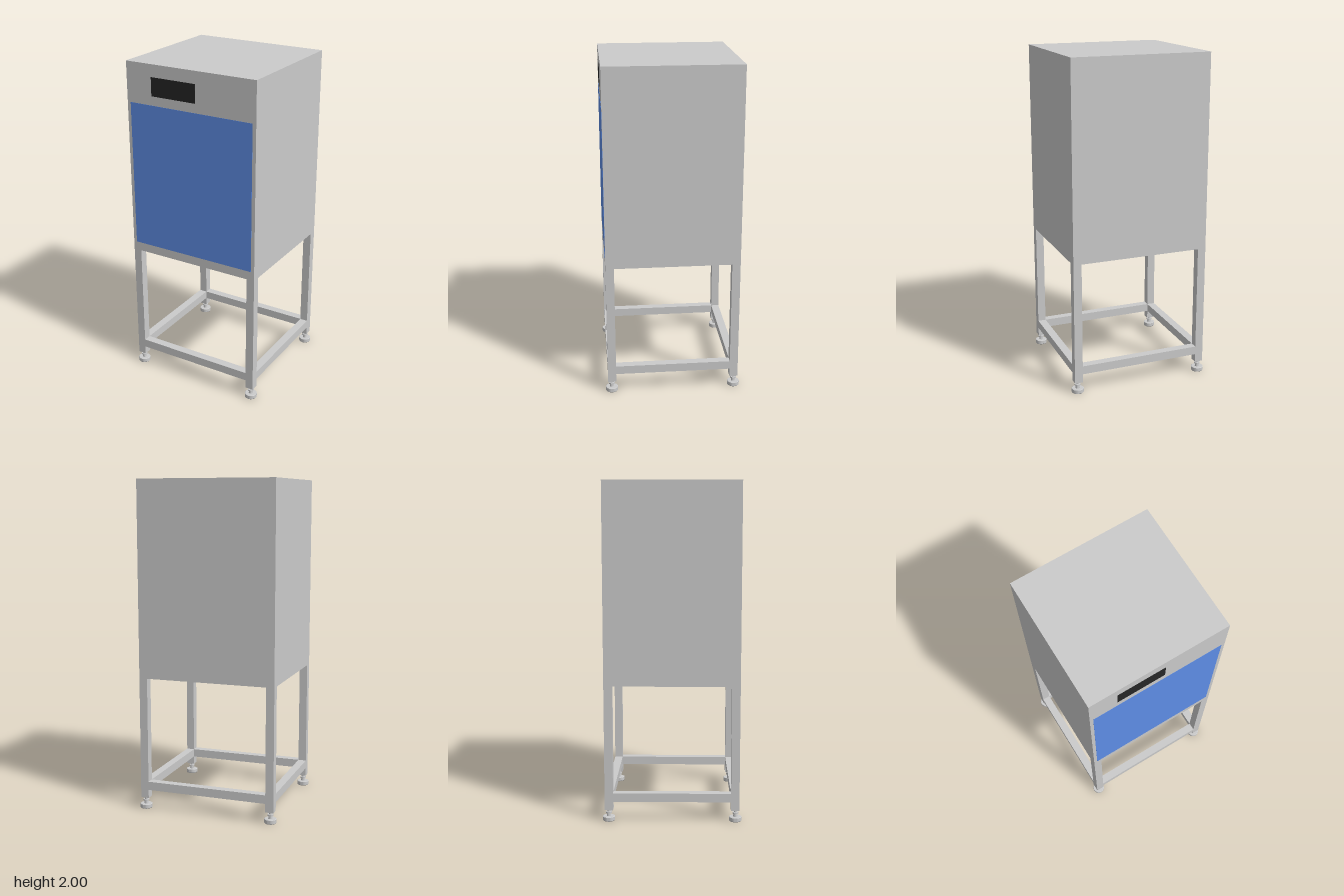
import * as THREE from 'three';
import { toCreasedNormals } from 'three/addons/utils/BufferGeometryUtils.js';

const grey = new THREE.MeshStandardMaterial({ color: 0xcccccc });
const blue = new THREE.MeshStandardMaterial({ color: 0x5f8fe8 });
const black = new THREE.MeshStandardMaterial({ color: 0x262626 });

const W = 0.424, D = 0.4, TUBE = 0.05; // half width, half depth, frame tube size

export function createModel() {
  const model = new THREE.Group();
  model.name = 'cabinetOnStand';

  // Box given by its limits on each axis
  const box = (name, [x0, x1], [y0, y1], [z0, z1], material = grey) => {
    const mesh = new THREE.Mesh(new THREE.BoxGeometry(x1 - x0, y1 - y0, z1 - z0), material);
    mesh.name = name;
    mesh.position.set((x0 + x1) / 2, (y0 + y1) / 2, (z0 + z1) / 2);
    model.add(mesh);
  };

  // Cabinet with its front door and display
  box('cabinet', [-W, W], [0.869, 2], [-D, D]);
  box('door', [-0.403, 0.402], [0.87, 1.76], [D - 0.01, D + 0.001], blue);
  box('display', [-0.255, 0.038], [1.815, 1.926], [D - 0.01, D + 0.001], black);

  // Levelling foot: disc, thin neck, nut and threaded stem
  const footProfile = [
    [0, 0], [0.034, 0], [0.037, 0.004], [0.037, 0.025], [0.034, 0.027], [0.013, 0.027],
    [0.011, 0.045], [0.018, 0.045], [0.018, 0.054], [0.009, 0.054], [0.009, 0.08],
  ].map(([r, y]) => new THREE.Vector2(r, y));
  const footGeometry = toCreasedNormals(new THREE.LatheGeometry(footProfile, 32), 0.5);

  const span = (s, outer) => (s > 0 ? [outer - TUBE, outer] : [-outer, TUBE - outer]);

  // Legs and feet at the four corners
  for (const sx of [-1, 1]) {
    for (const sz of [-1, 1]) {
      box('leg', span(sx, W), [0.068, 0.869], span(sz, D));
      const foot = new THREE.Mesh(footGeometry, grey);
      foot.name = 'levellingFoot';
      foot.position.set(sx * 0.4, 0, sz * 0.377);
      model.add(foot);
    }
  }

  // Upper and lower rails between the legs
  for (const [level, y] of [['upper', [0.816, 0.869]], ['lower', [0.12, 0.172]]]) {
    for (const s of [-1, 1]) {
      box(level + 'CrossRail', [TUBE - W, W - TUBE], y, span(s, D));
      box(level + 'SideRail', span(s, W), y, [TUBE - D, D - TUBE]);
    }
  }

  return model;
}
